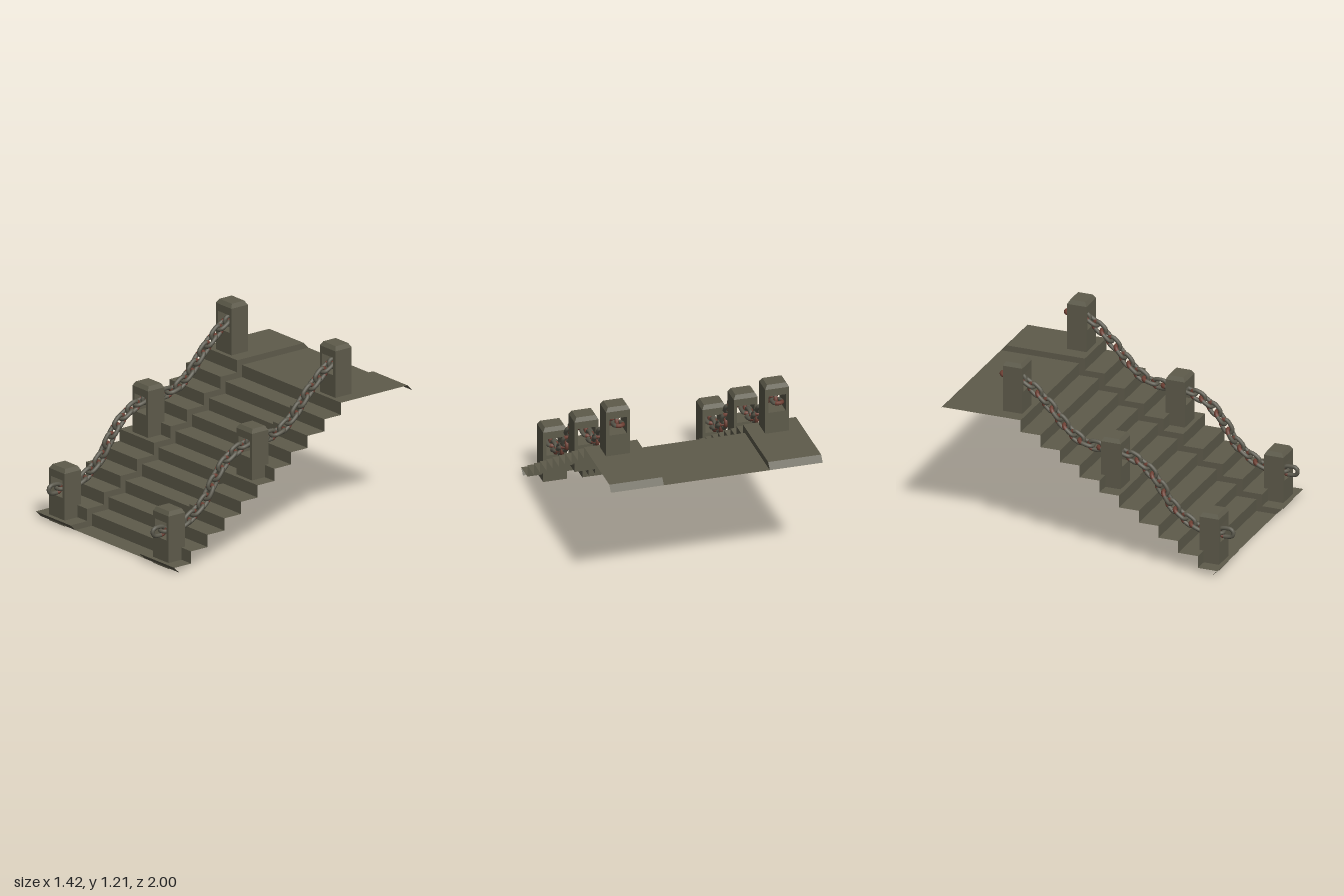
import * as THREE from 'three';

const stone = new THREE.MeshStandardMaterial({ color: 0x5e5b4b, side: THREE.DoubleSide });
stone.name = 'stone';
stone.flatShading = true;
const iron = new THREE.MeshStandardMaterial({ color: 0x5b594d });
iron.name = 'iron';
const rust = new THREE.MeshStandardMaterial({ color: 0x6e4034 });
rust.name = 'rust';

const V = (x, y, z) => new THREE.Vector3(x, y, z);

function mesh(name, geometry, material = stone) {
  const m = new THREE.Mesh(geometry, material);
  m.name = name;
  return m;
}

// Flat-faced ribbon of quads between two polylines of equal length
function ribbon(a, b) {
  const pts = [];
  for (let i = 0; i < a.length - 1; i++) {
    pts.push(a[i], b[i], b[i + 1], a[i], b[i + 1], a[i + 1]);
  }
  const g = new THREE.BufferGeometry().setFromPoints(pts);
  g.computeVertexNormals();
  return g;
}

const STEPS = 10, RISE = 0.0824, RUN = 0.1367;
const INNER = 0.355, OUTER = 0.71, LIFT = 0.04;

// Stair profile as [z, y], raised and moved forward by an offset
function stairProfile(offset, backZ) {
  const p = [[0.91 + offset, offset]];
  for (let k = 0; k < STEPS; k++) {
    const z = 0.773 - k * RUN + offset;
    p.push([z, k * RISE + offset], [z, (k + 1) * RISE + offset]);
  }
  p.push([backZ, STEPS * RISE + offset]);
  return p;
}

const at = (profile, x) => profile.map(([z, y]) => V(x, y, z));

// Stairs: low middle flight, raised side flights and the walls between
function makeStairs() {
  const g = new THREE.Group();
  g.name = 'stairs';
  const low = stairProfile(0, -1);
  const high = stairProfile(LIFT, -0.963);
  const bevelled = [[0.91, 0], ...high, [-1, STEPS * RISE]];
  g.add(mesh('middleFlight', ribbon(at(low, -INNER), at(low, INNER))));
  g.add(mesh('leftFlight', ribbon(at(bevelled, INNER), at(bevelled, OUTER))));
  g.add(mesh('rightFlight', ribbon(at(bevelled, -OUTER), at(bevelled, -INNER))));
  g.add(mesh('leftCurb', ribbon(at(low, INNER), at(high, INNER))));
  g.add(mesh('rightCurb', ribbon(at(high, -INNER), at(low, -INNER))));
  return g;
}

// Hollow post with a window through it, open underneath
function makePost() {
  const g = new THREE.Group();
  g.name = 'post';
  const w = 0.08, d = 0.067, h = 0.355, capH = 0.027, inset = 0.016;
  const hole = [[-0.058, 0.187], [0.058, 0.187], [0.058, 0.305], [-0.058, 0.305]];
  const toV2 = ([x, y]) => new THREE.Vector2(x, y);
  const face = new THREE.Shape([[-w, 0], [w, 0], [w, h], [-w, h]].map(toV2));
  face.holes.push(new THREE.Path(hole.map(toV2)));
  const panel = new THREE.ShapeGeometry(face);
  for (const s of [1, -1]) {
    const front = mesh(s > 0 ? 'frontPanel' : 'backPanel', panel);
    front.rotation.y = s > 0 ? 0 : Math.PI;
    front.position.z = s * d;
    g.add(front);
    g.add(mesh('sidePanel', ribbon(
      [V(s * w, h, s * d), V(s * w, h, -s * d)],
      [V(s * w, 0, s * d), V(s * w, 0, -s * d)])));
  }
  const loop = [...hole, hole[0]];
  g.add(mesh('windowLining', ribbon(
    loop.map(([x, y]) => V(x, y, -d)), loop.map(([x, y]) => V(x, y, d)))));

  // Cap with sloping edges
  const cap = new THREE.BoxGeometry(w * 2, capH, d * 2);
  const p = cap.attributes.position;
  for (let i = 0; i < p.count; i++) {
    if (p.getY(i) > 0) {
      p.setX(i, p.getX(i) * (1 - inset / w));
      p.setZ(i, p.getZ(i) * (1 - inset / d));
    }
  }
  cap.computeVertexNormals();
  const capMesh = mesh('cap', cap);
  capMesh.position.y = h + capH / 2;
  g.add(capMesh);
  return g;
}

// Oval chain link lying in the xy plane, with a rusted stretch
function makeLinkGeometry() {
  const r = 0.014, R = 0.0285, half = 0.02, pts = [];
  for (let i = 0; i < 14; i++) {
    const a = -Math.PI / 2 + (i % 7) / 6 * Math.PI + (i < 7 ? 0 : Math.PI);
    pts.push(V(Math.cos(a) * R + (i < 7 ? half : -half), Math.sin(a) * R, 0));
  }
  const seg = 24, sides = 8, per = sides * 6;
  const curve = new THREE.CatmullRomCurve3(pts, true);
  const g = new THREE.TubeGeometry(curve, seg, r, sides, true);
  g.addGroup(0, 6 * per, 1);
  g.addGroup(6 * per, (seg - 6) * per, 0);
  return g;
}

// Chain sagging between the posts
function makeChain(linkGeometry) {
  const g = new THREE.Group();
  g.name = 'chain';
  const path = new THREE.CatmullRomCurve3([
    [0.937, 0.238], [0.85, 0.234], [0.76, 0.238], [0.668, 0.284], [0.56, 0.37],
    [0.48, 0.49], [0.378, 0.606], [0.265, 0.665], [0.166, 0.69], [0.062, 0.69],
    [-0.056, 0.708], [-0.17, 0.788], [-0.265, 0.895], [-0.367, 0.992],
    [-0.458, 1.062], [-0.573, 1.083],
  ].map(([z, y]) => V(0, y, z)));
  const count = 28, X = V(1, 0, 0);
  for (let i = 0; i < count; i++) {
    const u = i / (count - 1);
    const t = path.getTangentAt(u);
    const across = i % 2 ? X.clone() : new THREE.Vector3().crossVectors(X, t);
    const link = mesh('link', linkGeometry, [iron, rust]);
    link.quaternion.setFromRotationMatrix(new THREE.Matrix4().makeBasis(
      t, across, new THREE.Vector3().crossVectors(t, across)));
    link.position.copy(path.getPointAt(u));
    g.add(link);
  }
  return g;
}

export function createModel() {
  const model = new THREE.Group();
  model.name = 'chainedStaircase';
  model.add(makeStairs());
  const linkGeometry = makeLinkGeometry();
  for (const s of [1, -1]) {
    const rail = new THREE.Group();
    rail.name = s > 0 ? 'leftRailing' : 'rightRailing';
    rail.position.x = s * 0.533;
    // One post every five steps
    for (let k = 0; k < 3; k++) {
      const post = makePost();
      post.position.set(0, k * 5 * RISE, 0.852 - k * 5 * RUN);
      rail.add(post);
    }
    rail.add(makeChain(linkGeometry));
    model.add(rail);
  }
  return model;
}
